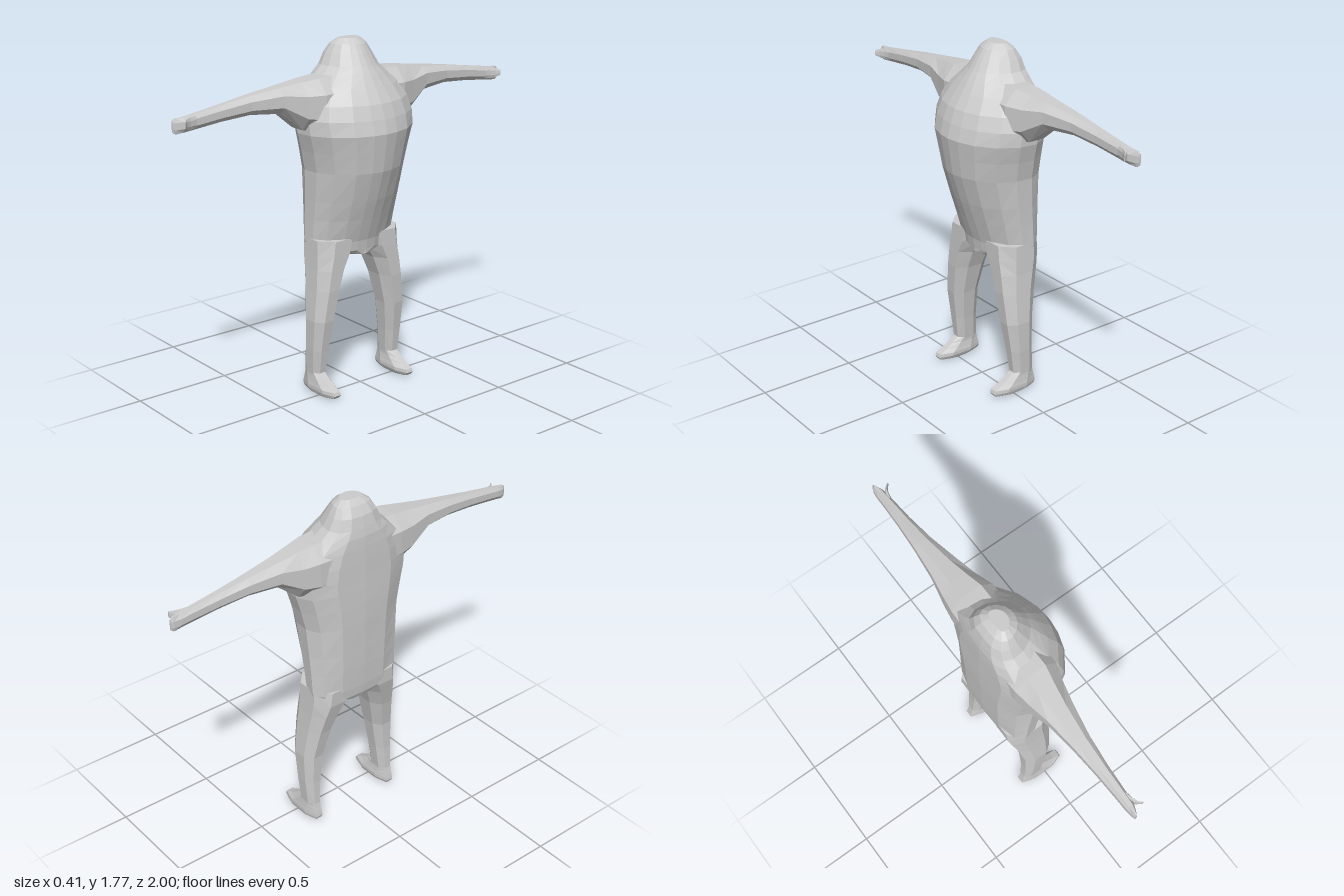
import * as THREE from 'three';

const material = new THREE.MeshStandardMaterial({ color: 0xcccccc, flatShading: true });

// Skin a list of closed rings (arrays of [x, y, z]) and close both ends.
function loft(name, rings) {
  const n = rings[0].length, pos = rings.flat(2), idx = [];
  rings.slice(1).forEach((_, r) => {
    for (let i = 0; i < n; i++) {
      const a = r * n + i, b = r * n + (i + 1) % n;
      idx.push(a, b, b + n, a, b + n, a + n);
    }
  });
  for (const r of [0, rings.length - 1]) {
    const c = pos.length / 3;
    for (let k = 0; k < 3; k++) pos.push(rings[r].reduce((s, p) => s + p[k], 0) / n);
    for (let i = 0; i < n; i++) {
      const a = r * n + i, b = r * n + (i + 1) % n;
      if (r) idx.push(c, a, b); else idx.push(c, b, a);
    }
  }
  // Turn the faces outward if the enclosed volume comes out negative.
  const p = (i) => new THREE.Vector3().fromArray(pos, i * 3);
  let volume = 0;
  for (let i = 0; i < idx.length; i += 3) volume += p(idx[i]).dot(p(idx[i + 1]).cross(p(idx[i + 2])));
  if (volume < 0) idx.reverse();
  const geo = new THREE.BufferGeometry();
  geo.setAttribute('position', new THREE.Float32BufferAttribute(pos, 3));
  geo.setIndex(idx);
  geo.computeVertexNormals();
  const mesh = new THREE.Mesh(geo, material);
  mesh.name = name;
  return mesh;
}

// Chamfered rectangle in (u, v), eight corners.
function octagon(u0, u1, v0, v1, cut = 0.27) {
  const du = (u1 - u0) * cut, dv = (v1 - v0) * cut;
  return [[u0 + du, v0], [u1 - du, v0], [u1, v0 + dv], [u1, v1 - dv],
    [u1 - du, v1], [u0 + du, v1], [u0, v1 - dv], [u0, v0 + dv]];
}

// Torso ring: broad flat back, straight flanks, rounded belly.
function torsoRing([y, xb, xf, w]) {
  const d = xf - xb;
  const half = [[0.015, 0.5], [0.12, 0.87], [0.3, 1], [0.52, 0.97], [0.74, 0.8], [0.91, 0.5], [0.98, 0.22]]
    .map(([t, s]) => [xb + d * t, y, w * s]);
  const other = half.map(([x, yy, z]) => [x, yy, -z]).reverse();
  return [[xb, y, 0], ...half, [xf, y, 0], ...other];
}

export function createModel() {
  const group = new THREE.Group();

  // Head and body in one skin: y, back x, front x, half width
  group.add(loft('body', [
    [0.705, -0.185, 0.045, 0.1], [0.73, -0.195, 0.047, 0.235],
    [0.78, -0.2, 0.055, 0.254], [0.9, -0.205, 0.095, 0.256],
    [1.0, -0.207, 0.13, 0.26], [1.15, -0.21, 0.177, 0.268],
    [1.25, -0.21, 0.192, 0.29], [1.34, -0.208, 0.205, 0.315],
    [1.41, -0.206, 0.187, 0.32], [1.48, -0.205, 0.162, 0.3],
    [1.55, -0.203, 0.118, 0.255], [1.605, -0.2, 0.083, 0.19],
    [1.645, -0.192, 0.055, 0.146], [1.7, -0.178, 0.02, 0.118],
    [1.742, -0.152, -0.01, 0.093], [1.768, -0.12, -0.045, 0.058],
  ].map(torsoRing)));

  // Legs: y, back x, front x, inner z, outer z
  const legRows = [
    [0.8, -0.195, 0.045, 0.02, 0.25], [0.72, -0.192, 0.046, 0.05, 0.254],
    [0.65, -0.175, 0.046, 0.095, 0.258], [0.55, -0.15, 0.045, 0.13, 0.267],
    [0.39, -0.122, 0.035, 0.165, 0.283], [0.23, -0.12, 0.01, 0.187, 0.28],
    [0.1, -0.127, -0.008, 0.2, 0.272],
  ];
  // Feet, with toes reaching forward
  const footRows = [
    [0.115, -0.124, -0.012, 0.202, 0.27], [0.085, -0.13, 0.03, 0.202, 0.272],
    [0.06, -0.136, 0.07, 0.198, 0.275], [0.042, -0.14, 0.108, 0.194, 0.278],
    [0.025, -0.143, 0.115, 0.194, 0.278], [0.01, -0.138, 0.105, 0.2, 0.274],
    [0.0, -0.1, 0.07, 0.21, 0.264],
  ];
  // Arms: z, low y, high y, back x, front x
  const armRows = [
    [0.12, 1.34, 1.61, -0.185, 0.05], [0.24, 1.345, 1.605, -0.18, 0.05],
    [0.325, 1.365, 1.595, -0.168, 0.022], [0.44, 1.458, 1.58, -0.15, -0.01],
    [0.6, 1.472, 1.56, -0.132, -0.04], [0.75, 1.462, 1.537, -0.118, -0.054],
    [0.88, 1.448, 1.518, -0.11, -0.06], [0.95, 1.44, 1.508, -0.107, -0.064],
    [0.985, 1.435, 1.507, -0.102, -0.08], [1.0, 1.445, 1.498, -0.096, -0.088],
  ];
  // Thin thumb fin curving forward
  const thumbRows = [
    [0.89, 1.455, 1.51, -0.085, -0.06], [0.925, 1.452, 1.508, -0.073, -0.054],
    [0.95, 1.457, 1.505, -0.058, -0.044], [0.968, 1.468, 1.498, -0.036, -0.026],
  ];

  for (const [side, s] of [['left', -1], ['right', 1]]) {
    const upright = ([y, x0, x1, z0, z1]) => octagon(x0, x1, z0, z1).map(([x, z]) => [x, y, z * s]);
    const sideways = ([z, y0, y1, x0, x1]) => octagon(x0, x1, y0, y1).map(([x, y]) => [x, y, z * s]);
    group.add(
      loft(side + 'Leg', legRows.map(upright)),
      loft(side + 'Foot', footRows.map(upright)),
      loft(side + 'Arm', armRows.map(sideways)),
      loft(side + 'Thumb', thumbRows.map(sideways)),
    );
  }
  return group;
}
